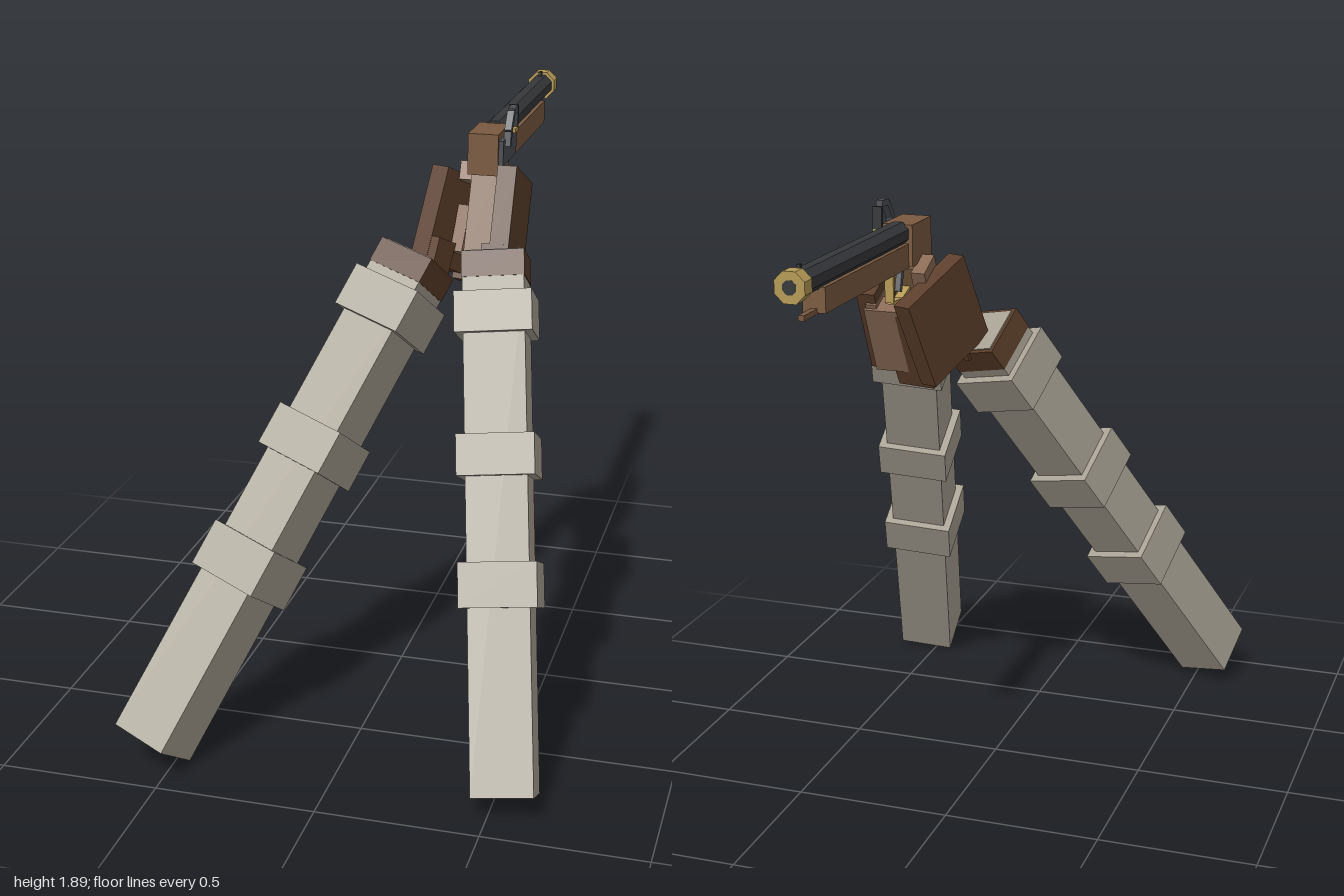
import * as THREE from 'three';

const mat = (color) => new THREE.MeshStandardMaterial({ color, flatShading: true, side: THREE.DoubleSide });
const SLEEVE = mat(0xa8a294), GLOVE = mat(0x5c3e2a), SKIN = mat(0x8a6a55);
const WOOD = mat(0x7a5a40), IRON = mat(0x36373a), STEEL = mat(0x4c4e53), BRASS = mat(0xb59a55);
const V = (x, y, z) => new THREE.Vector3(x, y, z);

function add(parent, name, geometry, material, pos, rot = [0, 0, 0]) {
  const mesh = new THREE.Mesh(geometry, material);
  mesh.name = name;
  mesh.position.set(...pos);
  mesh.rotation.set(...rot, 'YXZ');
  parent.add(mesh);
  return mesh;
}
const box = (parent, name, material, size, pos, rot) =>
  add(parent, name, new THREE.BoxGeometry(...size), material, pos, rot);

// Square bar joining two points, used for thin metal fittings
function bar(parent, name, material, a, b, w, d) {
  const m = box(parent, name, material, [w, d, a.distanceTo(b)], [0, 0, 0]);
  m.position.copy(a).add(b).multiplyScalar(0.5);
  m.lookAt(b);
}

// Sleeved arm: bottom and top are the middles of the front edge of each end
function makeArm(name, bottom, top, across, cuffs, gloveStart) {
  const W = 0.187, arm = new THREE.Group();
  arm.name = name;
  const length = bottom.distanceTo(top);
  const up = top.clone().sub(bottom).normalize();
  const front = across.clone().cross(up).normalize();
  const side = up.clone().cross(front);
  arm.quaternion.setFromRotationMatrix(new THREE.Matrix4().makeBasis(side, up, front));
  arm.position.copy(bottom).addScaledVector(front, -W / 2);
  const ring = (part, m, w, a, b) => box(arm, part, m, [w, b - a, w], [0, (a + b) / 2, 0]);
  ring('sleeve', SLEEVE, W, 0, gloveStart);
  cuffs.forEach(([a, b]) => ring('sleeveFold', SLEEVE, W + 0.048, a, b));
  ring('gloveBand', GLOVE, W + 0.004, gloveStart, length - 0.004);
  ring('wristTop', SLEEVE, W - 0.02, length - 0.006, length);
  return arm;
}

function makeGun() {
  const gun = new THREE.Group();
  gun.name = 'pistol';
  const X = 0.25;
  // Barrel with brass muzzle ring
  const tube = (name, m, r, z0, z1, y = 1.79) => {
    const g = new THREE.CylinderGeometry(r, r, z1 - z0, 8).rotateY(Math.PI / 8).rotateX(Math.PI / 2);
    add(gun, name, g, m, [X, y, (z0 + z1) / 2]);
  };
  tube('barrel', IRON, 0.039, -0.96, -0.19);
  tube('muzzleRing', BRASS, 0.049, -1, -0.95);
  tube('bore', IRON, 0.022, -1.001, -0.99);
  box(gun, 'frontSight', IRON, [0.01, 0.02, 0.015], [X, 1.832, -0.93]);
  // Wooden stock, ramrod and grip
  box(gun, 'foreStock', WOOD, [0.07, 0.075, 0.65], [X, 1.723, -0.515]);
  box(gun, 'breechStock', WOOD, [0.096, 0.13, 0.165], [X, 1.754, -0.115]);
  box(gun, 'ramrod', WOOD, [0.018, 0.016, 0.70], [X, 1.69, -0.58]);
  box(gun, 'grip', WOOD, [0.08, 0.32, 0.1], [X, 1.55, -0.05], [-0.43, 0, 0]);
  const pommel = new THREE.CylinderGeometry(0.055, 0.035, 0.05, 8);
  add(gun, 'pommel', pommel, BRASS, [X, 1.405, 0.02], [-0.43, 0, 0]);
  // Flintlock on the left side
  box(gun, 'lockPlate', STEEL, [0.025, 0.08, 0.195], [0.3, 1.758, -0.138]);
  const hammer = [V(0.318, 1.775, -0.075), V(0.318, 1.82, -0.085), V(0.318, 1.873, -0.125), V(0.318, 1.875, -0.175)];
  for (let i = 0; i < 3; i++) bar(gun, 'hammer', STEEL, hammer[i], hammer[i + 1], 0.022, 0.02);
  box(gun, 'pan', BRASS, [0.03, 0.012, 0.045], [0.305, 1.8, -0.205]);
  box(gun, 'frizzen', IRON, [0.03, 0.07, 0.011], [0.305, 1.84, -0.222]);
  // Trigger and guard
  bar(gun, 'trigger', STEEL, V(X, 1.69, -0.175), V(X, 1.61, -0.2), 0.018, 0.018);
  const guard = [V(X, 1.69, -0.272), V(X, 1.59, -0.272), V(X, 1.585, -0.2), V(X, 1.61, -0.13)];
  for (let i = 0; i < 3; i++) bar(gun, 'triggerGuard', BRASS, guard[i], guard[i + 1], 0.028, 0.01);
  return gun;
}

function makeHands() {
  const hands = new THREE.Group();
  hands.name = 'hands';
  const T = -0.43;
  // Palms on both sides of the grip
  box(hands, 'leftPalm', GLOVE, [0.06, 0.285, 0.28], [0.33, 1.54, -0.09], [T, 0, 0]);
  box(hands, 'rightPalm', GLOVE, [0.06, 0.3, 0.29], [0.135, 1.51, -0.12], [T, -0.35, 0]);
  box(hands, 'leftWrist', GLOVE, [0.07, 0.12, 0.1], [0.31, 1.43, 0.06], [T, 0, 0]);
  box(hands, 'rightWrist', GLOVE, [0.07, 0.12, 0.1], [0.11, 1.43, 0.02], [T, -0.35, 0]);
  // Fingers wrapped around the front of the grip
  box(hands, 'rightFingers', GLOVE, [0.13, 0.27, 0.06], [0.215, 1.435, -0.185], [T, -0.2, 0]);
  box(hands, 'leftFingers', SKIN, [0.15, 0.235, 0.075], [0.262, 1.47, -0.19], [T, 0, 0]);
  box(hands, 'fingerTips', SKIN, [0.04, 0.15, 0.08], [0.18, 1.49, -0.1], [T, -0.2, 0]);
  box(hands, 'indexFinger', SKIN, [0.035, 0.055, 0.13], [0.315, 1.58, -0.2], [T, 0, 0]);
  box(hands, 'thumb', SKIN, [0.045, 0.06, 0.1], [0.185, 1.665, -0.145], [T, 0, 0]);
  return hands;
}

export function createModel() {
  const model = new THREE.Group();
  model.name = 'armsWithPistol';
  model.add(
    makeArm('rightArm', V(-0.565, 0.137, 0.965), V(0.055, 1.492, 0.135), V(0.17, -0.035, 0.06),
      [[0.54, 0.69], [0.96, 1.1], [1.45, 1.59]], 1.62),
    makeArm('leftArm', V(0.55, 0.09, 0.93), V(0.338, 1.53, 0.21), V(0.185, 0.02, -0.025),
      [[0.55, 0.685], [0.94, 1.065], [1.37, 1.495]], 1.54),
    makeGun(),
    makeHands(),
  );
  return model;
}
